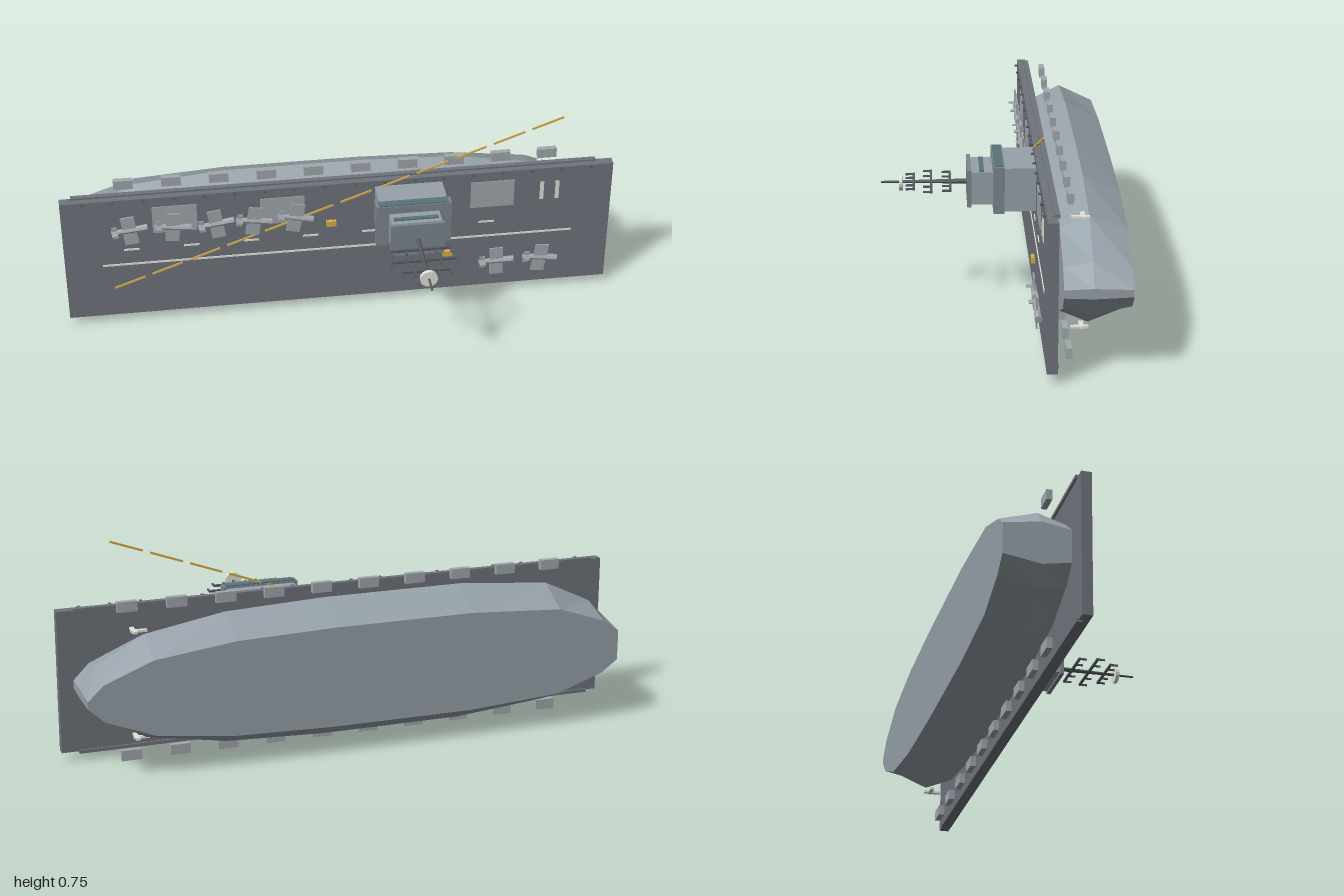
import * as THREE from 'three';

const CY = 0.283; // ship centreline height
const mats = {};
const mat = (c) => (mats[c] ??= new THREE.MeshStandardMaterial({ color: c, flatShading: true }));
const HULL = 0x98a2aa, DECK = 0x70757d, PALE = 0xa2a9af, DARK = 0x565b62, WHITE = 0xe4e4dc, YELLOW = 0xd9b04c, GLASS = 0x58747a;

function add(parent, name, geometry, color, x = 0, y = 0, z = 0) {
  const m = new THREE.Mesh(geometry, mat(color));
  m.name = name;
  m.position.set(x, y, z);
  parent.add(m);
  return m;
}

// box given by its limits on each axis
function box(parent, name, color, x0, x1, y0, y1, z0, z1) {
  return add(parent, name, new THREE.BoxGeometry(x1 - x0, y1 - y0, z1 - z0), color,
    (x0 + x1) / 2, (y0 + y1) / 2, (z0 + z1) / 2);
}

// faceted hull: one plan outline, scaled in width at three levels
function hullGeometry() {
  const stations = [[0.955, 0.07], [0.9, 0.36], [0.73, 0.74], [0.45, 0.94], [0.1, 1],
    [-0.4, 1], [-0.73, 0.88], [-0.9, 0.55], [-0.96, 0.3]];
  const outline = [...stations, ...stations.map(([x, w]) => [x, -w]).reverse()];
  const levels = [[-0.18, 0.193], [-0.275, 0.248], [-0.402, 0.178]];
  const rings = levels.map(([z, half]) => outline.map(([x, w]) => [x, CY + w * half, z]));
  const pos = [];
  const tri = (...p) => p.forEach((v) => pos.push(...v));
  const n = outline.length;
  for (let i = 0; i < n; i++) {
    const j = (i + 1) % n;
    tri([0, CY, levels[0][0]], rings[0][i], rings[0][j]);
    tri([0, CY, levels[2][0]], rings[2][j], rings[2][i]);
    for (let k = 0; k < 2; k++) {
      const a = rings[k], b = rings[k + 1];
      tri(b[i], b[j], a[j]);
      tri(b[i], a[j], a[i]);
    }
  }
  const g = new THREE.BufferGeometry();
  g.setAttribute('position', new THREE.Float32BufferAttribute(pos, 3));
  g.computeVertexNormals();
  return g;
}

function aircraft(x, y, turn) {
  const g = new THREE.Group();
  g.name = 'aircraft';
  const body = add(g, 'fuselage', new THREE.CylinderGeometry(0.013, 0.009, 0.13, 8), PALE);
  body.rotation.z = -Math.PI / 2;
  box(g, 'wing', PALE, -0.025, 0.025, -0.058, 0.058, 0, 0.005);
  box(g, 'tailplane', PALE, -0.062, -0.042, -0.024, 0.024, 0, 0.004);
  box(g, 'tailFin', PALE, -0.064, -0.042, -0.002, 0.002, 0, 0.025);
  g.position.set(x, y, -0.109);
  g.rotation.z = turn;
  return g;
}

function island() {
  const g = new THREE.Group();
  g.name = 'island';
  box(g, 'islandBase', HULL, 0.125, 0.37, 0.36, 0.512, -0.125, -0.017);
  box(g, 'islandGallery', 0x7d878f, 0.11, 0.38, 0.354, 0.518, -0.018, 0.02);
  box(g, 'galleryEdge', GLASS, 0.12, 0.37, 0.518, 0.522, -0.014, 0.016);
  box(g, 'bridge', HULL, 0.155, 0.335, 0.374, 0.488, 0.02, 0.096);
  box(g, 'bridgeWindows', GLASS, 0.165, 0.325, 0.488, 0.493, 0.05, 0.066);
  box(g, 'bridgeRoof', 0x7d878f, 0.148, 0.34, 0.366, 0.496, 0.094, 0.108);

  // mast with yards, upright on the deck
  const mast = add(g, 'mast', new THREE.CylinderGeometry(0.005, 0.009, 0.232, 8), DARK, 0.245, 0.43, 0.222);
  mast.rotation.x = Math.PI / 2;
  const pole = add(g, 'mastTop', new THREE.CylinderGeometry(0.004, 0.004, 0.075, 8), DARK, 0.245, 0.43, 0.364);
  pole.rotation.x = Math.PI / 2;
  for (const [z, half] of [[0.165, 0.108], [0.23, 0.12], [0.29, 0.086]]) {
    box(g, 'yard', DARK, 0.245 - half, 0.245 + half, 0.426, 0.434, z - 0.004, z + 0.004);
    for (const s of [-1, -0.5, 0.5, 1]) {
      const x = 0.245 + s * (half - 0.003);
      box(g, 'aerial', DARK, x - 0.003, x + 0.003, 0.427, 0.433, z, z + 0.028);
    }
  }
  const radar = add(g, 'radarDish', new THREE.CylinderGeometry(0.031, 0.031, 0.013, 16), WHITE, 0.245, 0.43, 0.334);
  radar.rotation.x = Math.PI / 2;
  return g;
}

export function createModel() {
  const ship = new THREE.Group();
  ship.name = 'ship';
  add(ship, 'hull', hullGeometry(), HULL);

  // flight deck and catwalks
  box(ship, 'flightDeck', DECK, -1, 1, 0.032, 0.535, -0.16, -0.125);
  box(ship, 'upperCatwalk', DECK, -0.96, 0.94, 0.53, 0.542, -0.167, -0.148);
  box(ship, 'lowerCatwalk', DECK, -0.96, 0.94, 0.025, 0.037, -0.167, -0.148);

  // sponsons along both sides
  for (let i = 0; i < 10; i++) {
    const x = -0.771 + i * 0.1713;
    box(ship, 'sponson', PALE, x - 0.035, x + 0.035, 0.53, 0.566, -0.22, -0.2);
    box(ship, 'sponson', PALE, x - 0.035, x + 0.035, 0, 0.037, -0.22, -0.2);
  }

  // edge lamps
  for (let i = 0; i < 18; i++) {
    const x = -0.92 + i * 0.108;
    box(ship, 'edgeLamp', DARK, x - 0.005, x + 0.005, 0.529, 0.535, -0.125, -0.112);
  }

  // deck lifts
  for (const x of [-0.597, -0.21, 0.557]) {
    box(ship, 'deckLift', PALE, x - 0.08, x + 0.08, 0.386, 0.496, -0.126, -0.122);
  }

  // deck markings
  box(ship, 'centreLine', WHITE, -0.865, 0.86, 0.253, 0.26, -0.126, -0.122);
  for (let i = 0; i < 7; i++) {
    const x = -0.757 + i * 0.216;
    box(ship, 'deckDash', WHITE, x - 0.028, x + 0.028, 0.317, 0.324, -0.126, -0.122);
  }
  for (const x of [0.74, 0.797]) {
    box(ship, 'catapultMark', WHITE, x - 0.007, x + 0.007, 0.402, 0.477, -0.126, -0.122);
  }

  // slanted landing line
  const angle = Math.atan2(0.605, 1.655);
  for (let i = 0; i < 12; i++) {
    const t = (i + 0.5) / 12;
    const dash = add(ship, 'landingDash', new THREE.BoxGeometry(0.12, 0.007, 0.004), YELLOW,
      -0.84 + 1.655 * t, 0.15 + 0.605 * t, -0.122);
    dash.rotation.z = angle;
  }

  // parked aircraft
  [[-0.76, 0.415, 0.12], [-0.605, 0.415, -0.1], [-0.45, 0.415, 0.15], [-0.315, 0.415, -0.14],
    [-0.165, 0.415, -0.2], [0.58, 0.15, 0.02], [0.745, 0.15, -0.14],
  ].forEach(([x, y, turn]) => ship.add(aircraft(x, y, turn)));

  // deck tractors
  for (const [x, y] of [[-0.035, 0.374], [0.397, 0.198]]) {
    box(ship, 'tractor', YELLOW, x - 0.018, x + 0.018, y - 0.011, y + 0.011, -0.122, -0.107);
    for (const s of [-0.011, 0.011]) {
      box(ship, 'tractorWheels', DARK, x + s - 0.004, x + s + 0.004, y - 0.013, y + 0.013, -0.126, -0.118);
    }
  }

  ship.add(island());

  // anchors on both bows
  for (const s of [-1, 1]) {
    const y = CY + s * 0.189;
    box(ship, 'anchorShank', WHITE, 0.752, 0.766, y - 0.004, y + 0.004, -0.275, -0.215);
    box(ship, 'anchorArms', WHITE, 0.715, 0.77, y - 0.004, y + 0.004, -0.26, -0.245);
  }
  return ship;
}
